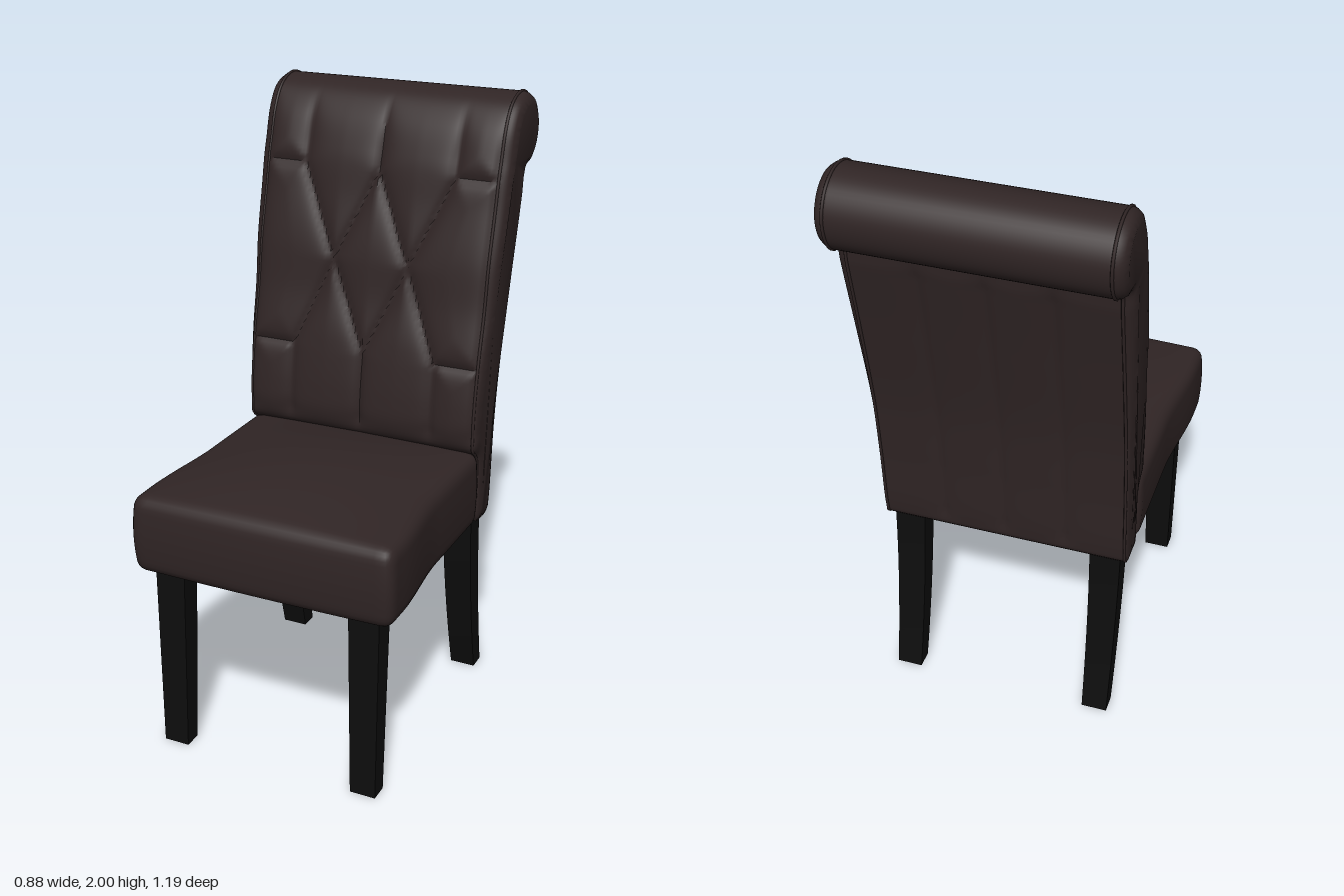
import * as THREE from 'three';
import { toCreasedNormals } from 'three/addons/utils/BufferGeometryUtils.js';

const { lerp, clamp, smoothstep } = THREE.MathUtils;

// Side profile of the backrest as (z, y): up the front, over the scroll, down the rear
const PROFILE = [
  [-0.195, 0.63], [-0.192, 0.75], [-0.185, 0.86], [-0.14, 0.9], [-0.122, 0.95], [-0.124, 1.03],
  [-0.15, 1.2], [-0.185, 1.35], [-0.21, 1.5], [-0.25, 1.66], [-0.285, 1.8], [-0.335, 1.91],
  [-0.4, 1.98], [-0.48, 2.0], [-0.55, 1.97], [-0.588, 1.9], [-0.575, 1.82], [-0.53, 1.77],
  [-0.472, 1.752], [-0.458, 1.68], [-0.405, 1.42], [-0.35, 1.12], [-0.327, 0.9], [-0.308, 0.67],
  [-0.295, 0.628], [-0.24, 0.625],
];

// Tufting seams on one half of the front: x1, y1, x2, y2
const SEAMS = [
  [0, 2, 0, 1.75], [0.26, 2, 0.26, 1.75], [0.26, 1.75, 0.4, 1.75],
  [0, 1.75, 0.13, 1.46], [0.13, 1.46, 0, 1.17], [0.26, 1.75, 0.13, 1.46], [0.13, 1.46, 0.25, 1.17],
  [0, 1.17, 0, 0.88], [0.25, 1.17, 0.25, 0.88], [0.25, 1.17, 0.4, 1.17], [0.4, 0.88, 0.4, 1.95],
];

function seamDistance(x, y) {
  let best = 1;
  for (const [x1, y1, x2, y2] of SEAMS) {
    const dx = x2 - x1, dy = y2 - y1;
    const t = clamp(((x - x1) * dx + (y - y1) * dy) / (dx * dx + dy * dy), 0, 1);
    best = Math.min(best, Math.hypot(x - x1 - t * dx, y - y1 - t * dy));
  }
  return best;
}

// Evenly spaced profile points with outward normals
const HALF = 0.4, ROWS = 220;
function sampleProfile() {
  const curve = new THREE.CatmullRomCurve3(PROFILE.map(([z, y]) => new THREE.Vector3(0, y, z)), true);
  const pts = curve.getSpacedPoints(ROWS).slice(0, ROWS);
  let top = 0;
  pts.forEach((p, j) => { if (p.y > pts[top].y) top = j; });
  return pts.map((p, j) => {
    const a = pts[(j + ROWS - 2) % ROWS], b = pts[(j + 2) % ROWS];
    const tz = b.z - a.z, ty = b.y - a.y, l = Math.hypot(tz, ty);
    return { z: p.z, y: p.y, nz: ty / l, ny: -tz / l, front: j <= top };
  });
}

// Surface point of the backrest: x across, inset and bulge for the rounded sides
function backPoint(p, x, inset = 0, bulge = 0) {
  const ax = Math.abs(x);
  let depth = inset;
  if (p.front) {
    const d = seamDistance(ax, p.y);
    depth += (0.014 * Math.exp(-d / 0.045) + 0.009 * Math.exp(-d / 0.012))
      * smoothstep(p.y, 0.88, 0.95) * (1 - smoothstep(p.y, 1.8, 1.99));
  } else if (p.y < 1.74) {
    const d = Math.min(ax, Math.abs(ax - 0.2));
    depth += 0.01 * Math.exp(-d / 0.03) * smoothstep(p.y, 0.63, 0.7) * (1 - smoothstep(p.y, 1.66, 1.74));
  }
  const side = lerp(0.012, 0.036, smoothstep(p.y, 0.8, 1.8)) * bulge;
  return [x + Math.sign(x) * side, p.y - p.ny * depth, p.z - p.nz * depth];
}

function backGeometry(profile) {
  const stations = [];
  const sides = [[0.036, 1], [0.014, 0.75], [0.004, 0.4]];
  for (const [inset, bulge] of sides) stations.push([-HALF, inset, bulge]);
  const cols = 72;
  for (let i = 0; i <= cols; i++) stations.push([lerp(-HALF, HALF, i / cols), 0, 0]);
  for (const [inset, bulge] of sides.slice().reverse()) stations.push([HALF, inset, bulge]);

  const pos = [], index = [];
  for (const s of stations) for (const p of profile) pos.push(...backPoint(p, ...s));
  for (let i = 0; i < stations.length - 1; i++) {
    for (let j = 0; j < ROWS; j++) {
      const k = (j + 1) % ROWS;
      const a = i * ROWS + j, b = a + ROWS, c = (i + 1) * ROWS + k, d = i * ROWS + k;
      index.push(a, b, c, a, c, d);
    }
  }
  // Close both sides
  for (const i of [0, stations.length - 1]) {
    const ring = profile.map((_, j) => {
      const o = (i * ROWS + j) * 3;
      return new THREE.Vector2(pos[o + 2], pos[o + 1]);
    });
    for (const [a, b, c] of THREE.ShapeUtils.triangulateShape(ring, [])) {
      const ccw = THREE.ShapeUtils.area([ring[a], ring[b], ring[c]]) > 0;
      const o = i * ROWS;
      if (ccw === (i === 0)) index.push(o + a, o + b, o + c);
      else index.push(o + a, o + c, o + b);
    }
  }
  const g = new THREE.BufferGeometry();
  g.setAttribute('position', new THREE.Float32BufferAttribute(pos, 3));
  g.setIndex(index);
  return toCreasedNormals(g, 0.75);
}

// Padded seat: a rounded box with a domed top that narrows behind the front edge
function seatGeometry() {
  const hx = 0.425, hy = 0.13, hz = 0.385, r = 0.035;
  const g = new THREE.BoxGeometry(hx * 2, hy * 2, hz * 2, 48, 16, 48);
  const pos = g.attributes.position;
  const v = new THREE.Vector3(), core = new THREE.Vector3();
  for (let i = 0; i < pos.count; i++) {
    v.fromBufferAttribute(pos, i);
    core.set(clamp(v.x, r - hx, hx - r), clamp(v.y, r - hy, hy - r), clamp(v.z, r - hz, hz - r));
    v.sub(core).setLength(r).add(core);
    const u = v.x / hx, w = v.z / hz, h = v.y / hy;
    const puff = 1 - h * h;
    v.x *= lerp(0.96, 1.02, smoothstep(w, -0.1, 0.75)) + 0.018 * puff;
    if (v.z > 0) v.z += w * (0.012 * puff + 0.006 * (1 - u * u));
    if (h > 0) v.y += 0.052 * h * (1 - u * u) * (1 - w * w);
    pos.setXYZ(i, v.x, v.y + 0.752, v.z + 0.195);
  }
  return toCreasedNormals(g, 0.8);
}

// Square leg lofted through sections: y, zBack, zFront, xInner, xOuter
function legGeometry(sections) {
  const n = sections.length - 1;
  const g = new THREE.BoxGeometry(1, 1, 1, 1, n, 1);
  const pos = g.attributes.position;
  for (let i = 0; i < pos.count; i++) {
    const [y, z0, z1, x0, x1] = sections[Math.round((pos.getY(i) + 0.5) * n)];
    pos.setXYZ(i, pos.getX(i) > 0 ? x1 : x0, y, pos.getZ(i) > 0 ? z1 : z0);
  }
  return toCreasedNormals(g, 0.6);
}

export function createModel() {
  const leather = new THREE.MeshStandardMaterial({ color: 0x302525 });
  leather.name = 'dark brown leather';
  const wood = new THREE.MeshStandardMaterial({ color: 0x0d0d0d });
  wood.name = 'black wood';
  const lining = new THREE.MeshStandardMaterial({ color: 0x2e2718 });
  lining.name = 'olive lining';

  const model = new THREE.Group();
  model.name = 'diningChair';
  const add = (name, geometry, material) => {
    const mesh = new THREE.Mesh(geometry, material);
    mesh.name = name;
    model.add(mesh);
    return mesh;
  };

  const profile = sampleProfile();
  add('backrest', backGeometry(profile), leather);
  add('seat', seatGeometry(), leather);

  // Lining under the seat
  add('seatLining', new THREE.BoxGeometry(0.68, 0.006, 0.64), lining).position.set(0, 0.62, 0.185);

  // Piping around both sides of the backrest
  for (const [name, x] of [['leftPiping', HALF], ['rightPiping', -HALF]]) {
    const path = profile.filter((_, j) => j % 2 === 0).map((p) => new THREE.Vector3(...backPoint(p, x)));
    add(name, new THREE.TubeGeometry(new THREE.CatmullRomCurve3(path, true), 160, 0.005, 6, true), leather);
  }

  // Legs: straight tapered in front, swept back at the rear
  const front = [[0, 0.485, 0.545, 0.29, 0.375], [0.66, 0.46, 0.54, 0.28, 0.382]];
  const rear = [];
  for (let i = 0; i <= 10; i++) {
    const t = i / 10, sweep = Math.pow(1 - t, 1.7);
    rear.push([0.66 * t, -0.285 - 0.08 * sweep, -0.208 - 0.097 * sweep,
      lerp(0.29, 0.28, t), lerp(0.375, 0.382, t)]);
  }
  for (const [side, s] of [['left', 1], ['right', -1]]) {
    for (const [part, sections] of [['FrontLeg', front], ['RearLeg', rear]]) {
      const mirrored = sections.map(([y, z0, z1, a, b]) => [y, z0, z1, s > 0 ? a : -b, s > 0 ? b : -a]);
      add(side + part, legGeometry(mirrored), wood);
    }
  }
  return model;
}
